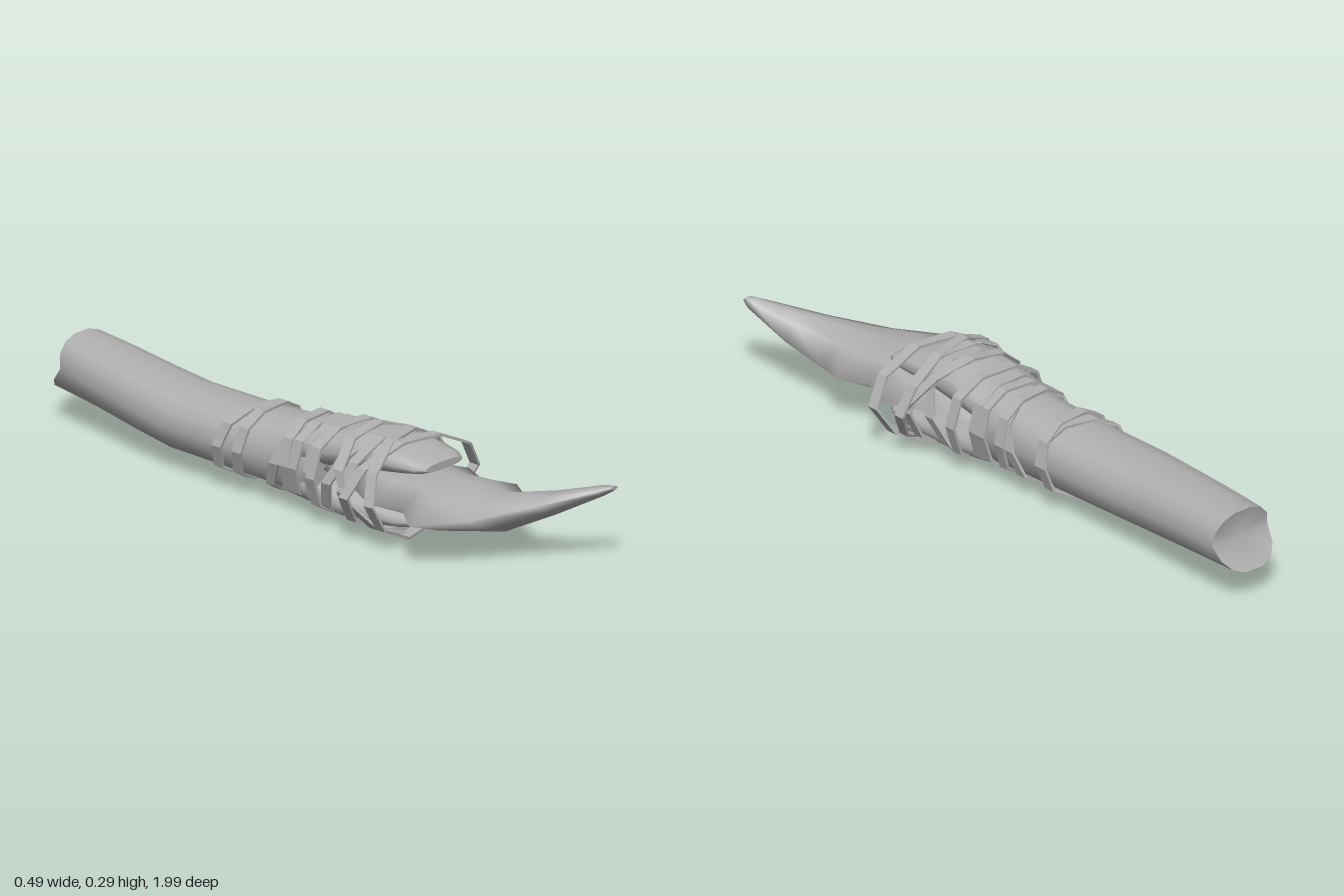
import * as THREE from 'three';

const stone = new THREE.MeshStandardMaterial({ color: 0xb0b0b0 });
stone.name = 'plain grey';

function geometryFrom(pos, idx) {
  const g = new THREE.BufferGeometry();
  g.setAttribute('position', new THREE.Float32BufferAttribute(pos, 3));
  g.setIndex(idx);
  return g;
}

// Skin closed rings running towards +z; caps get their own vertices so the rim stays sharp
function loft(rings, startPoint, endPoint) {
  const n = rings[0].length, pos = rings.flat(2), idx = [];
  for (let j = 0; j < rings.length - 1; j++) {
    for (let i = 0; i < n; i++) {
      const a = j * n + i, b = j * n + (i + 1) % n;
      idx.push(a, b, b + n, a, b + n, a + n);
    }
  }
  const cap = (ring, centre, front) => {
    const base = pos.length / 3;
    pos.push(...ring.flat(), ...centre);
    for (let i = 0; i < n; i++) {
      const a = base + i, b = base + (i + 1) % n;
      if (front) idx.push(base + n, a, b);
      else idx.push(base + n, b, a);
    }
  };
  cap(rings[0], startPoint, false);
  cap(rings[rings.length - 1], endPoint, true);
  const g = geometryFrom(pos, idx);
  g.computeVertexNormals();
  return g;
}

// Rounded section between xl..xr and yb..yt
function oval(z, xl, xr, yb, yt, n = 14) {
  return Array.from({ length: n }, (_, i) => {
    const t = (i / n) * Math.PI * 2, c = Math.cos(t), s = Math.sin(t);
    const sq = (v) => Math.sign(v) * Math.abs(v) ** 0.85;
    return [(xl + xr) / 2 + sq(c) * (xr - xl) / 2, (yb + yt) / 2 + sq(s) * (yt - yb) / 2, z];
  });
}

const middle = (ring) => [0, 1, 2].map((k) => ring.reduce((sum, p) => sum + p[k], 0) / ring.length);

// Faceted closed band, leaning by leanX across and leanY up the loop
function strapGeometry({ z, rx, ry, cx = 0, cy = 0.145, leanX = 0, leanY = 0, w = 0.034, p = 0.85, n = 10, turn = 0 }) {
  const pos = [], idx = [], thick = 0.008;
  for (let i = 0; i < n; i++) {
    const t = (i / n) * Math.PI * 2 + turn;
    const c = Math.sign(Math.cos(t)) * Math.abs(Math.cos(t)) ** p;
    const s = Math.sign(Math.sin(t)) * Math.abs(Math.sin(t)) ** p;
    for (const [d, dz] of [[0, -1], [0, 1], [thick, 1], [thick, -1]]) {
      pos.push(cx + c * (rx - d), cy + s * (ry - d), z + c * leanX + s * leanY + dz * w / 2);
    }
    for (let k = 0; k < 4; k++) {
      const a = i * 4 + k, d = i * 4 + (k + 1) % 4, j = ((i + 1) % n) * 4;
      const b = j + k, e = j + (k + 1) % 4;
      idx.push(a, b, e, a, e, d);
    }
  }
  const g = geometryFrom(pos, idx).toNonIndexed();
  g.computeVertexNormals();
  return g;
}

export function createModel() {
  const model = new THREE.Group();
  model.name = 'boundKnife';
  const add = (name, geometry, parent = model) => {
    const mesh = new THREE.Mesh(geometry, stone);
    mesh.name = name;
    parent.add(mesh);
  };

  // Handle: gently curved shaft with a notched butt
  const handle = [
    [-0.94, -0.05, 0.16, 0.09, 0.26], [-0.8, -0.075, 0.15, 0.078, 0.254],
    [-0.62, -0.105, 0.135, 0.062, 0.243], [-0.47, -0.127, 0.125, 0.05, 0.235],
    [-0.2, -0.127, 0.125, 0.045, 0.235], [0, -0.12, 0.12, 0.035, 0.25], [0.12, -0.12, 0.125, 0.028, 0.262],
  ].map((a) => oval(...a));
  handle[0].forEach((q) => {
    const h = (q[1] - 0.175) / 0.085;
    q[2] = h > 0 ? -0.93 - 0.015 * h : -0.93 + 0.065 * h;
  });
  add('handle', loft(handle, [0.055, 0.172, -0.93], middle(handle[6])));

  // Split front of the handle gripping the blade from above and below
  const upper = [
    [0.06, -0.12, 0.12, 0.14, 0.255], [0.2, -0.12, 0.12, 0.165, 0.282], [0.3, -0.112, 0.115, 0.18, 0.286],
    [0.4, -0.1, 0.115, 0.195, 0.268], [0.46, -0.08, 0.112, 0.205, 0.25], [0.485, -0.055, 0.095, 0.214, 0.238],
  ].map((a) => oval(...a));
  const lower = [
    [0.06, -0.12, 0.12, 0.032, 0.14], [0.2, -0.12, 0.12, 0.018, 0.12], [0.3, -0.112, 0.115, 0.02, 0.108],
    [0.4, -0.1, 0.115, 0.035, 0.095], [0.46, -0.08, 0.112, 0.05, 0.087], [0.48, -0.055, 0.095, 0.06, 0.078],
  ].map((a) => oval(...a));
  add('upperProng', loft(upper, middle(upper[0]), middle(upper[5])));
  add('lowerProng', loft(lower, middle(lower[0]), middle(lower[5])));

  // Blade: z, left edge x y, right edge x y, ridge x, ridge top, ridge bottom
  const blade = [
    [0.1, -0.08, 0.15, 0.08, 0.15, 0, 0.18, 0.125],
    [0.3, -0.15, 0.15, 0.16, 0.15, 0, 0.2, 0.1],
    [0.41, -0.21, 0.15, 0.2, 0.15, 0, 0.21, 0.08],
    [0.51, -0.18, 0.15, 0.155, 0.15, 0, 0.214, 0.075],
    [0.6, -0.245, 0.14, 0.195, 0.15, 0, 0.21, 0.072],
    [0.72, -0.13, 0.155, 0.14, 0.12, 0.02, 0.202, 0.085],
    [0.85, 0.005, 0.195, 0.165, 0.165, 0.09, 0.222, 0.15],
    [0.97, 0.125, 0.238, 0.195, 0.235, 0.16, 0.25, 0.218],
    [1.0, 0.155, 0.248, 0.185, 0.245, 0.17, 0.252, 0.238],
  ].map(([z, xl, yl, xr, yr, xm, yt, yb]) => {
    const between = (x, y, ym) => [x * 0.5 + xm * 0.5, y * 0.35 + ym * 0.65, z];
    return [
      [xr, yr, z], between(xr, yr, yt), [xm, yt, z], between(xl, yl, yt),
      [xl, yl, z], between(xl, yl, yb), [xm, yb, z], between(xr, yr, yb),
    ];
  });
  add('blade', loft(blade, middle(blade[0]), middle(blade[8])));

  // Lashing: straps round the handle, the prongs and the blade shoulders
  const lashing = new THREE.Group();
  lashing.name = 'lashing';
  model.add(lashing);
  [
    { z: -0.215, rx: 0.14, ry: 0.108, cy: 0.14, leanX: 0.03, leanY: 0.025 },
    { z: -0.18, rx: 0.142, ry: 0.112, cy: 0.142, leanX: -0.015, leanY: 0.02 },
    { z: -0.04, rx: 0.138, ry: 0.117, cy: 0.142, leanX: -0.015, leanY: 0.05 },
    { z: 0.0, rx: 0.14, ry: 0.122, leanX: -0.015 },
    { z: 0.055, rx: 0.138, ry: 0.126, leanX: 0.01, leanY: 0.008 },
    { z: 0.1, rx: 0.138, ry: 0.13, leanX: -0.006 },
    { z: 0.15, rx: 0.17, ry: 0.136, cy: 0.148, leanX: 0.006 },
    { z: 0.225, rx: 0.168, ry: 0.142, cy: 0.148, leanX: 0.02, leanY: 0.06, p: 1 },
    { z: 0.3, rx: 0.195, ry: 0.146, cy: 0.149, leanX: 0.01, leanY: 0.015, p: 1.05 },
    { z: 0.31, rx: 0.2, ry: 0.147, cy: 0.149, leanX: 0.015, leanY: -0.08, p: 1.05, turn: 0.2 },
    { z: 0.365, rx: 0.228, ry: 0.148, cy: 0.149, leanX: -0.06, leanY: -0.03, p: 1.1 },
    { z: 0.36, rx: 0.235, ry: 0.148, cx: 0.01, cy: 0.149, leanX: 0.035, leanY: 0.035, p: 1.1 },
  ].forEach((s, i) => add(`strap${i + 1}`, strapGeometry(s), lashing));

  return model;
}
